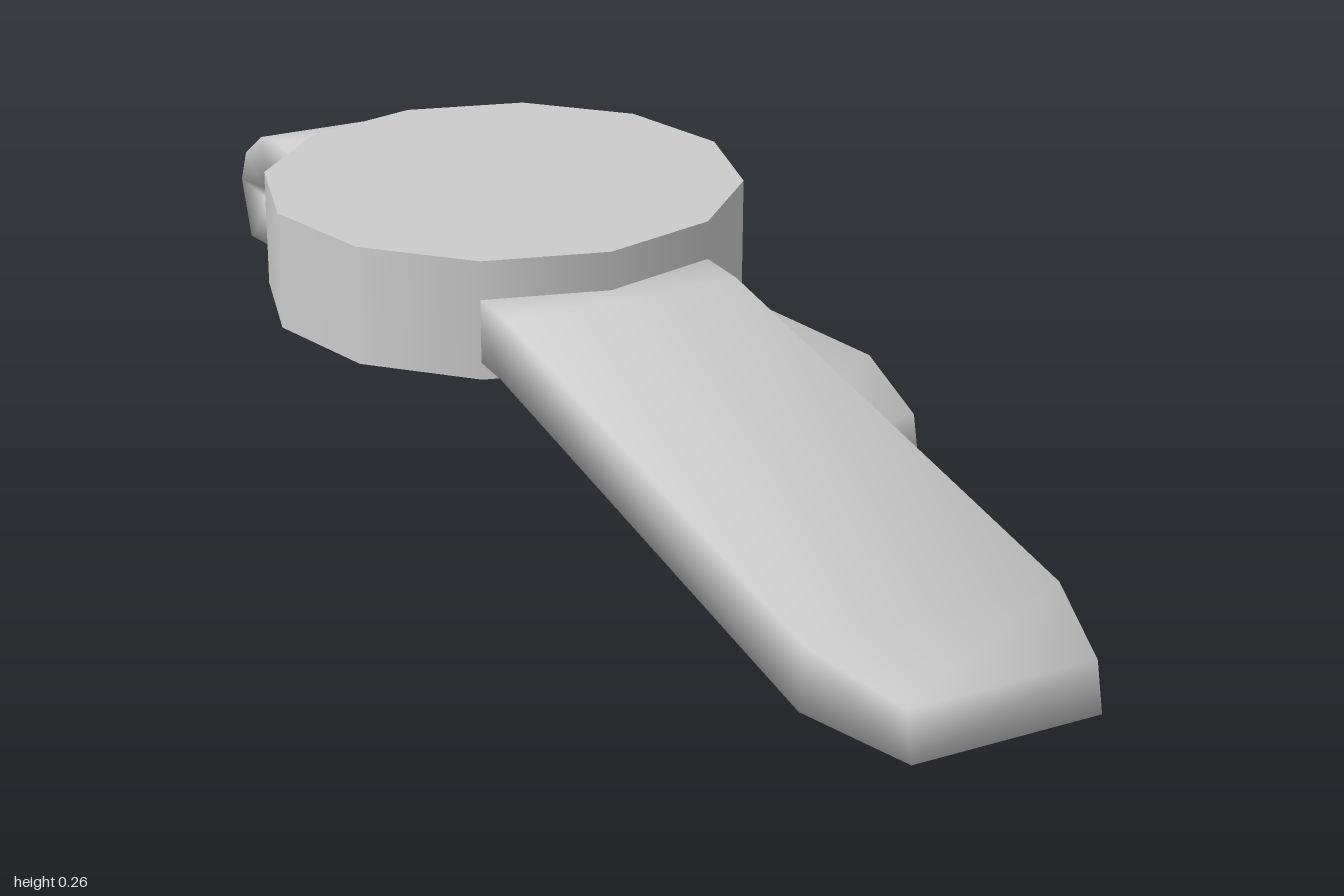
import * as THREE from 'three';

const material = new THREE.MeshStandardMaterial({ color: 0xcccccc });

// Closed four-sided band swept through stations.
// Station: lower face [z, y], upper face [z, y], half width, centre x, yaw.
function band(name, stations) {
  const positions = [], index = [];
  for (const { low, up, half = 0.178, x = 0, yaw = 0 } of stations) {
    for (const [[z, y], side] of [[low, -1], [low, 1], [up, 1], [up, -1]]) {
      positions.push(x + side * half * Math.cos(yaw), y, z - side * half * Math.sin(yaw));
    }
  }
  const last = (stations.length - 1) * 4;
  for (let i = 0; i < last; i += 4) {
    for (let j = 0; j < 4; j++) {
      const k = (j + 1) % 4;
      index.push(i + j, i + k, i + 4 + k, i + j, i + 4 + k, i + 4 + j);
    }
  }
  index.push(0, 2, 1, 0, 3, 2, last, last + 1, last + 2, last, last + 2, last + 3);
  const geometry = new THREE.BufferGeometry();
  geometry.setAttribute('position', new THREE.Float32BufferAttribute(positions, 3));
  geometry.setIndex(index);
  geometry.computeVertexNormals();
  const mesh = new THREE.Mesh(geometry, material);
  mesh.name = name;
  return mesh;
}

export function createModel() {
  const model = new THREE.Group();
  model.name = 'wristwatch';

  // Twelve-sided case
  const watchCase = new THREE.Mesh(new THREE.CylinderGeometry(0.355, 0.355, 0.176, 12), material);
  watchCase.name = 'watchCase';
  watchCase.position.set(0, 0.175, -0.36);
  model.add(watchCase);

  // Front strap sloping down to a tapered tip
  model.add(band('frontStrap', [
    { low: [-0.08, 0.113], up: [-0.08, 0.206] },
    { low: [0.01, 0.111], up: [0.03, 0.206] },
    { low: [0.83, 0], up: [0.835, 0.091] },
    { low: [1, 0.004], up: [0.985, 0.068], half: 0.13 },
  ]));

  // Back strap folding under the case and running out askew
  const yaw = 0.165;
  model.add(band('backStrap', [
    { low: [-0.62, 0.2], up: [-0.62, 0.114] },
    { low: [-0.835, 0.2], up: [-0.835, 0.114] },
    { low: [-0.9, 0.19], up: [-0.875, 0.113] },
    { low: [-0.974, 0.142], up: [-0.89, 0.106] },
    { low: [-1, 0.088], up: [-0.89, 0.09] },
    { low: [-0.966, 0], up: [-0.87, 0.083] },
    { low: [0.148, 0], up: [0.135, 0.083], x: 0.179, yaw },
    { low: [0.305, 0], up: [0.29, 0.06], half: 0.13, x: 0.2, yaw },
  ]));
  return model;
}
